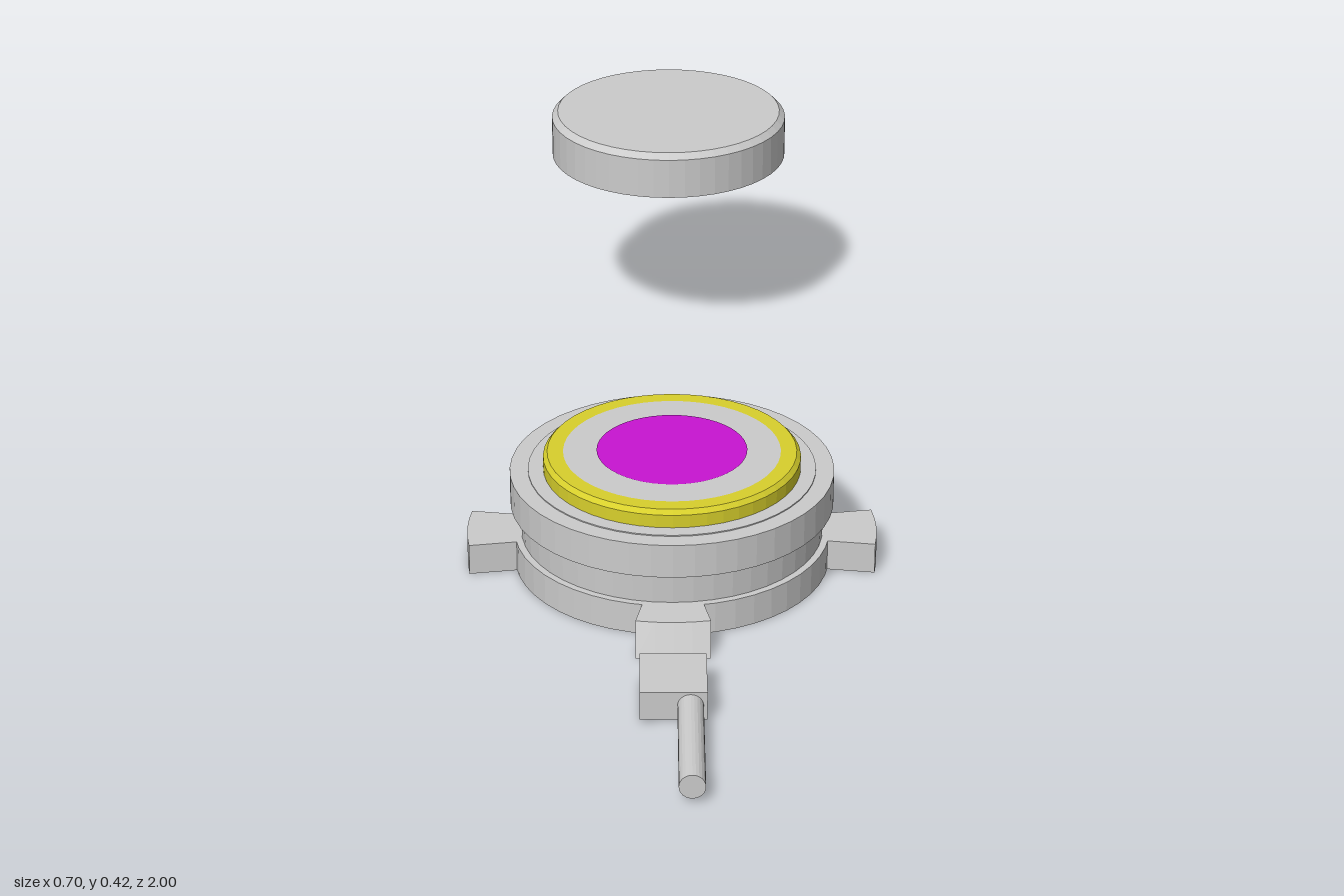
import * as THREE from 'three';

const GREY = 0xcccccc, YELLOW = 0xd8d02c, MAGENTA = 0xc814d2;
const BODY_Z = 0.222, CAP_Z = -0.777, SEGMENTS = 48;

function addMesh(parent, name, geometry, color = GREY) {
  const material = new THREE.MeshStandardMaterial({ color, flatShading: true });
  const mesh = new THREE.Mesh(geometry, material);
  mesh.name = name;
  parent.add(mesh);
  return mesh;
}

// Turned part from [radius, height] pairs, listed from bottom to top
function turned(points) {
  return new THREE.LatheGeometry(points.map(([r, y]) => new THREE.Vector2(r, y)), SEGMENTS);
}

// Foot pointing along +z: widens outwards, with an optional sloping end
function footGeometry(slope) {
  const height = 0.055, inner = 0.23, outer = 0.351;
  const geometry = new THREE.BoxGeometry(1, 1, 1, 4, 1, 1);
  const p = geometry.attributes.position;
  for (let i = 0; i < p.count; i++) {
    const isOuter = p.getZ(i) > 0, isTop = p.getY(i) > 0;
    const x = p.getX(i) * (isOuter ? 0.124 : 0.088);
    const reach = isOuter ? outer - (isTop ? slope : 0) : inner;
    p.setXYZ(i, x, isTop ? height : 0, isOuter ? Math.sqrt(reach * reach - x * x) : reach);
  }
  geometry.computeVertexNormals();
  return geometry;
}

export function createModel() {
  const model = new THREE.Group();
  model.name = 'buttonAssembly';

  // Round housing in three tiers
  const housing = new THREE.Group();
  housing.name = 'housing';
  housing.position.z = BODY_Z;
  model.add(housing);
  addMesh(housing, 'base', turned([[0, 0], [0.27, 0], [0.27, 0.055], [0.258, 0.055]]));
  addMesh(housing, 'waist', turned([[0.258, 0.055], [0.26, 0.112]]));
  addMesh(housing, 'collar', turned([[0.255, 0.112], [0.276, 0.112], [0.276, 0.172],
    [0.245, 0.172], [0.245, 0.174], [0.21, 0.174]]));

  // Raised rim with a chamfered edge, and the contact face within it
  addMesh(housing, 'rim', turned([[0.219, 0.174], [0.219, 0.197], [0.212, 0.205], [0.185, 0.205]]), YELLOW);
  const discs = [['contactFace', 0.185, 0.205, GREY], ['contactPad', 0.128, 0.2065, MAGENTA]];
  for (const [name, radius, y, color] of discs) {
    const disc = addMesh(housing, name, new THREE.CircleGeometry(radius, SEGMENTS), color);
    disc.rotation.x = -Math.PI / 2;
    disc.position.y = y;
  }

  // Four feet: the front and back ones slope
  const names = ['frontFoot', 'leftFoot', 'backFoot', 'rightFoot'];
  names.forEach((name, i) => {
    const foot = addMesh(housing, name, footGeometry(i % 2 ? 0 : 0.027));
    foot.rotation.y = i * Math.PI / 2;
  });

  // Detached plug with its off-centre cable
  const plug = new THREE.Group();
  plug.name = 'plug';
  model.add(plug);
  addMesh(plug, 'plugBlock', new THREE.BoxGeometry(0.108, 0.05, 0.12)).position.set(-0.001, 0.03, 0.705);
  const cable = addMesh(plug, 'cable', new THREE.CylinderGeometry(0.021, 0.021, 0.235, 24));
  cable.rotation.x = Math.PI / 2;
  cable.position.set(0.026, 0.03, 0.8825);

  // Separate cap with a chamfered top
  const cap = addMesh(model, 'cap', turned([[0, 0.335], [0.224, 0.335], [0.224, 0.411],
    [0.213, 0.422], [0, 0.422]]));
  cap.position.z = CAP_Z;

  return model;
}
